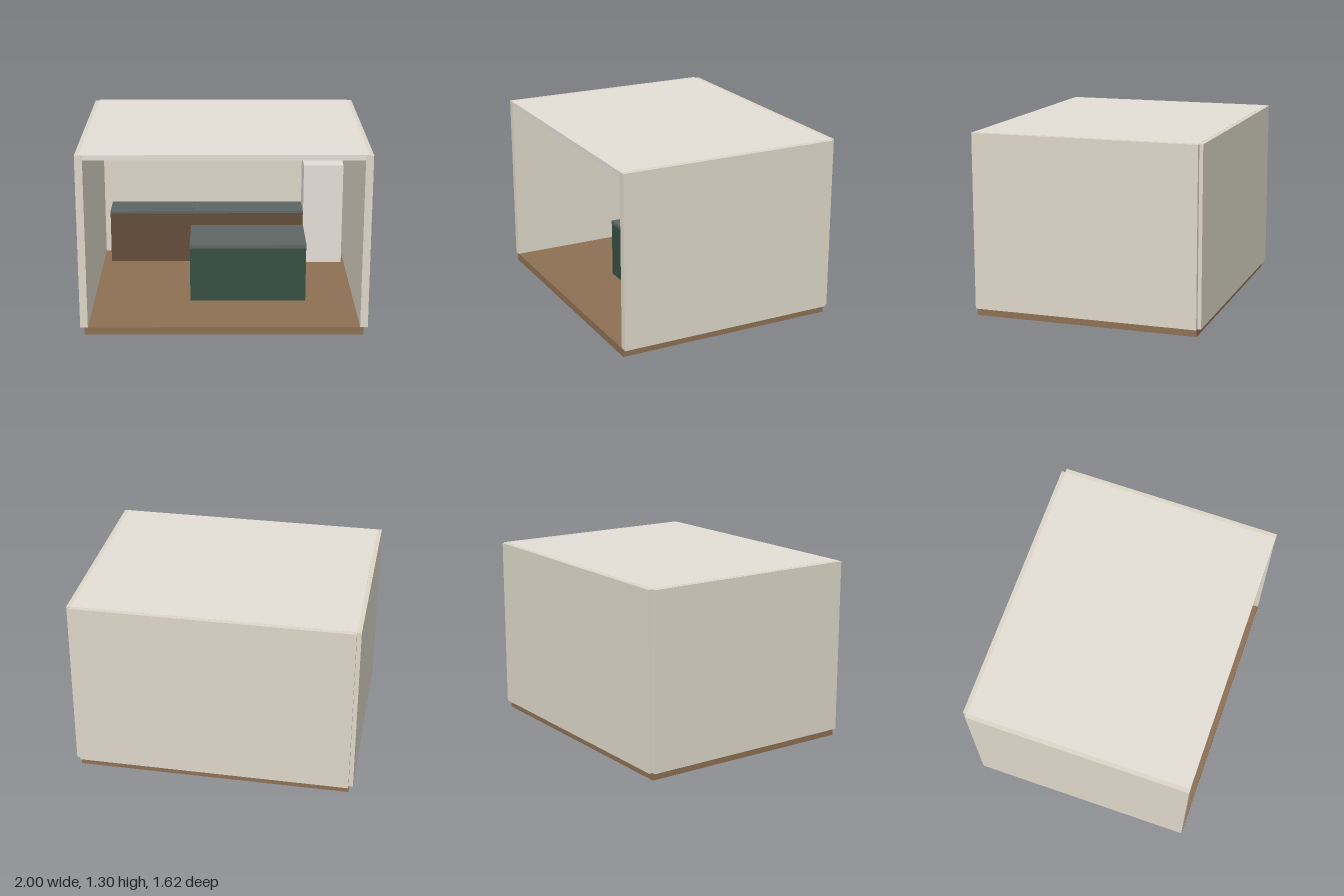
import * as THREE from 'three';

const COLORS = {
  wall: 0xddd7c8, white: 0xe4ded6, floor: 0x8d7053, wood: 0x634d37,
  green: 0x384f42, stone: 0x5e6664, metal: 0x889092,
};
const materials = {};
for (const key in COLORS) materials[key] = new THREE.MeshStandardMaterial({ color: COLORS[key] });

// Box given by its extents on each axis
function box(name, material, [x0, x1], [y0, y1], [z0, z1]) {
  const mesh = new THREE.Mesh(new THREE.BoxGeometry(x1 - x0, y1 - y0, z1 - z0), materials[material]);
  mesh.position.set((x0 + x1) / 2, (y0 + y1) / 2, (z0 + z1) / 2);
  mesh.name = name;
  return mesh;
}

export function createModel() {
  const room = new THREE.Group();
  room.name = 'kitchenRoom';
  const base = 0.055, top = 1.295;

  // Room shell, open at the front
  room.add(
    box('floor', 'floor', [-0.97, 0.97], [0, base], [-0.78, 0.81]),
    box('backWall', 'wall', [-0.97, 0.97], [base, top], [-0.81, -0.755]),
    box('leftWall', 'wall', [0.947, 1], [base, top], [-0.784, 0.81]),
    box('rightWall', 'wall', [-1, -0.947], [base, top], [-0.784, 0.81]),
    box('ceiling', 'white', [-0.97, 0.97], [1.26, top + 0.001], [-0.78, 0.809]),
  );

  // Counter along the back wall, with hob, appliance front and wall cabinet
  room.add(
    box('counterCabinet', 'wood', [-0.885, 0.62], [base, 0.455], [-0.76, -0.51]),
    box('counterTop', 'stone', [-0.885, 0.62], [0.455, 0.472], [-0.76, -0.505]),
    box('hob', 'stone', [-0.555, -0.23], [0.472, 0.48], [-0.72, -0.55]),
    box('applianceFront', 'white', [-0.14, 0.18], [0.09, 0.285], [-0.515, -0.5]),
    box('wallCabinet', 'wall', [-0.8, 0.53], [0.72, 1.03], [-0.76, -0.61]),
    box('fridge', 'white', [0.62, 0.925], [base, 0.85], [-0.76, -0.48]),
  );

  // Island
  room.add(
    box('islandCabinet', 'green', [-0.245, 0.595], [base, 0.46], [-0.125, 0.32]),
    box('islandTop', 'stone', [-0.247, 0.597], [0.46, 0.485], [-0.127, 0.322]),
  );

  // Lamps above the island
  for (const x of [-0.138, 0.174]) {
    const lamp = new THREE.Mesh(new THREE.CylinderGeometry(0.053, 0.053, 0.035, 24), materials.metal);
    lamp.position.set(x, 1.183, 0.1);
    lamp.name = 'islandLamp';
    room.add(lamp);
  }
  return room;
}
